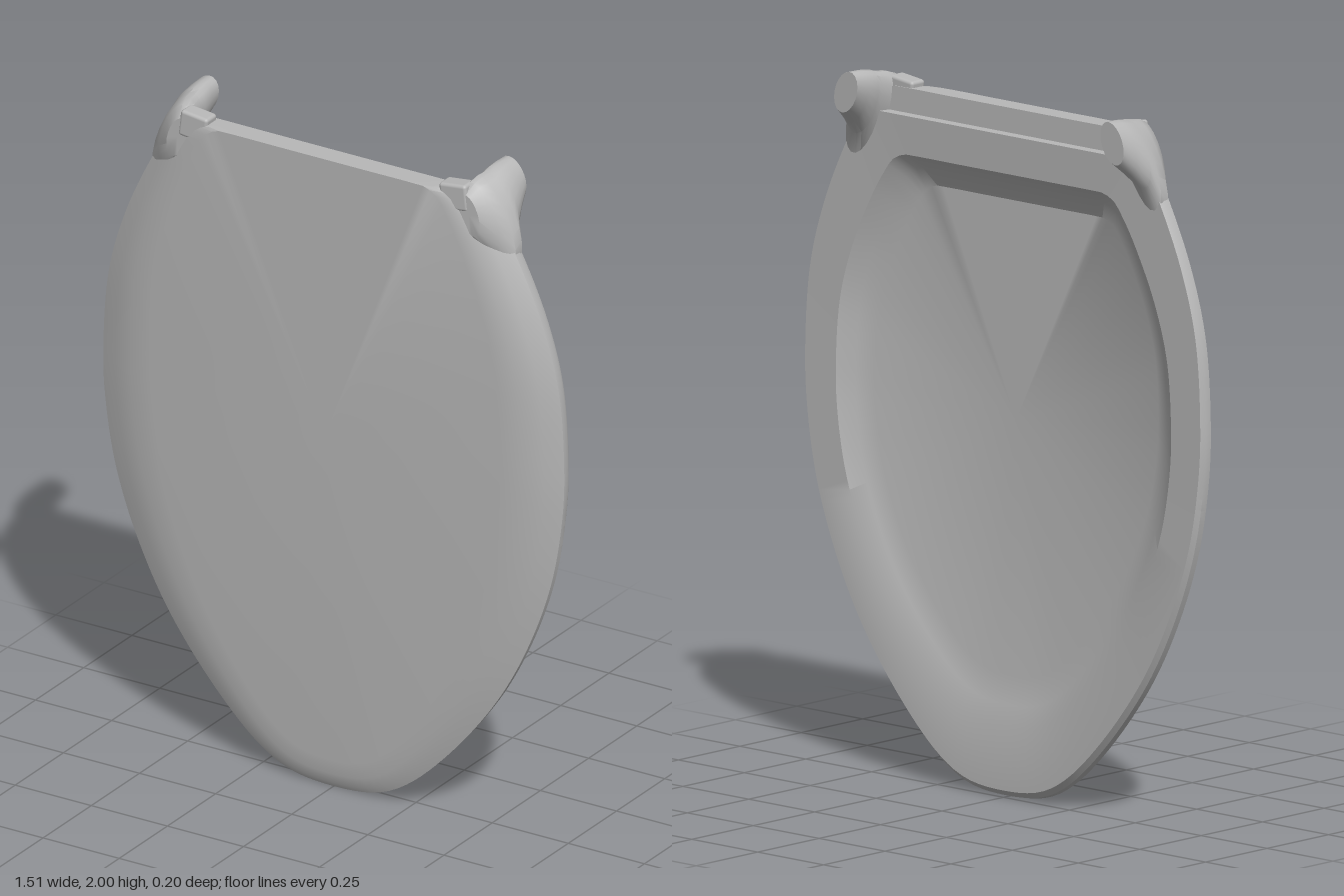
import * as THREE from 'three';
import { toCreasedNormals } from 'three/addons/utils/BufferGeometryUtils.js';
import { RoundedBoxGeometry } from 'three/addons/geometries/RoundedBoxGeometry.js';

const gray = new THREE.MeshStandardMaterial({ color: 0xb8b8b8 });
gray.name = 'gray plastic';

// Skin a list of rings (anticlockwise seen from +z) from back to front, closing both ends
function loft(rings, crease) {
  const n = rings[0].length, pos = [], idx = [];
  for (const ring of rings) for (const p of ring) pos.push(p.x, p.y, p.z);
  for (let i = 0; i < rings.length - 1; i++) {
    for (let j = 0; j < n; j++) {
      const k = (j + 1) % n, a = i * n + j, b = i * n + k;
      idx.push(a, b, b + n, a, b + n, a + n);
    }
  }
  const last = (rings.length - 1) * n, c = rings.length * n;
  for (const ring of [rings[0], rings.at(-1)]) {
    const m = new THREE.Vector3();
    ring.forEach(p => m.add(p));
    m.divideScalar(n);
    pos.push(m.x, m.y, m.z);
  }
  for (let j = 0; j < n; j++) {
    const k = (j + 1) % n;
    idx.push(c, k, j, c + 1, last + j, last + k);
  }
  const g = new THREE.BufferGeometry();
  g.setAttribute('position', new THREE.Float32BufferAttribute(pos, 3));
  g.setIndex(idx);
  return toCreasedNormals(g, crease);
}

// Right half of the oval outline, bottom to top
const half = [
  [0.14, 0.015], [0.24, 0.065], [0.385, 0.2], [0.54, 0.4], [0.645, 0.6], [0.715, 0.8],
  [0.75, 1.0], [0.757, 1.15], [0.738, 1.4], [0.68, 1.6], [0.585, 1.8], [0.535, 1.88],
  [0.5, 1.925], [0.45, 1.948], [0.4, 1.95], [0.2, 1.95],
];

function outline() {
  const pts = [new THREE.Vector3(0, 0, 0)];
  for (const [x, y] of half) pts.push(new THREE.Vector3(x, y, 0));
  for (const [x, y] of [...half].reverse()) pts.push(new THREE.Vector3(-x, y, 0));
  return new THREE.CatmullRomCurve3(pts, true).getSpacedPoints(180).slice(0, -1);
}

// The front face leans: thicker at the hinge end
const frontZ = y => 0.05 + 0.025 * y;

function lidGeometry() {
  const base = outline();
  // Width scale, bottom, top, height limit, depth rule
  const rows = [
    [0.71, 0.34, 1.68, 2, y => frontZ(y) - 0.025], // recess floor
    [0.78, 0.26, 1.73, 2, y => 0.6 * (frontZ(y) - 0.025)],
    [0.84, 0.2, 1.77, 2, () => 0],                 // recess edge
    [0.99, 0.02, 1.95, 1.88, () => -0.003],        // flat back rim
    [1, 0.004, 1.95, 1.88, () => 0.012],
    [1, 0, 1.95, 1.88, () => 0.03],                // ledge behind the top edge
    [1, 0, 1.95, 2, () => 0.032],
    [0.93, 0.015, 1.95, 2, y => 0.03 + 0.5 * (frontZ(y) - 0.03)],
    [0.85, 0.045, 1.95, 2, y => 0.03 + 0.88 * (frontZ(y) - 0.03)],
    [0.76, 0.09, 1.95, 2, y => frontZ(y)],         // front panel
  ];
  const rings = rows.map(([s, bottom, top, limit, z]) => base.map(p => {
    const y = Math.min(limit, bottom + p.y / 1.95 * (top - bottom));
    return new THREE.Vector3(p.x * s, y, z(y));
  }));
  return loft(rings, 0.5);
}

// Slanted oval fin that projects behind the lid
function hingeGeometry(side) {
  // z, lower end x and y, upper end x and y, half width
  const rows = [
    [-0.1, 0.53, 1.885, 0.48, 2.0, 0.04],
    [-0.06, 0.54, 1.85, 0.478, 2.0, 0.045],
    [-0.02, 0.555, 1.81, 0.475, 1.995, 0.05],
    [0.0, 0.58, 1.74, 0.475, 1.99, 0.052],
    [0.03, 0.58, 1.72, 0.47, 1.988, 0.052],
    [0.06, 0.54, 1.78, 0.465, 1.978, 0.045],
    [0.088, 0.5, 1.83, 0.46, 1.95, 0.03],
  ];
  const rings = rows.map(([z, x0, y0, x1, y1, w]) => {
    const ring = [], len = Math.hypot(x1 - x0, y1 - y0);
    const ux = (x1 - x0) / len, uy = (y1 - y0) / len;
    for (let i = 0; i < 20; i++) {
      const a = i / 20 * Math.PI * 2;
      const u = Math.sin(a) * len / 2, v = Math.cos(a) * w;
      ring.push(new THREE.Vector3(
        side * ((x0 + x1) / 2 + ux * u + uy * v), (y0 + y1) / 2 + uy * u - ux * v, z));
    }
    return side > 0 ? ring : ring.reverse();
  });
  return loft(rings, 0.6);
}

export function createModel() {
  const model = new THREE.Group();
  model.name = 'lid';
  const add = (geometry, name) => {
    const mesh = new THREE.Mesh(geometry, gray);
    mesh.name = name;
    model.add(mesh);
    return mesh;
  };

  add(lidGeometry(), 'lidShell');
  for (const side of [1, -1]) {
    const name = side > 0 ? 'left' : 'right';
    add(hingeGeometry(side), name + 'HingeArm');
    // Small knuckle joining the arm to the top edge
    const knuckle = add(new RoundedBoxGeometry(0.09, 0.08, 0.055, 2, 0.01), name + 'HingeKnuckle');
    knuckle.position.set(side * 0.428, 1.933, 0.063);
    knuckle.rotation.z = side * 0.12;
  }
  return model;
}
